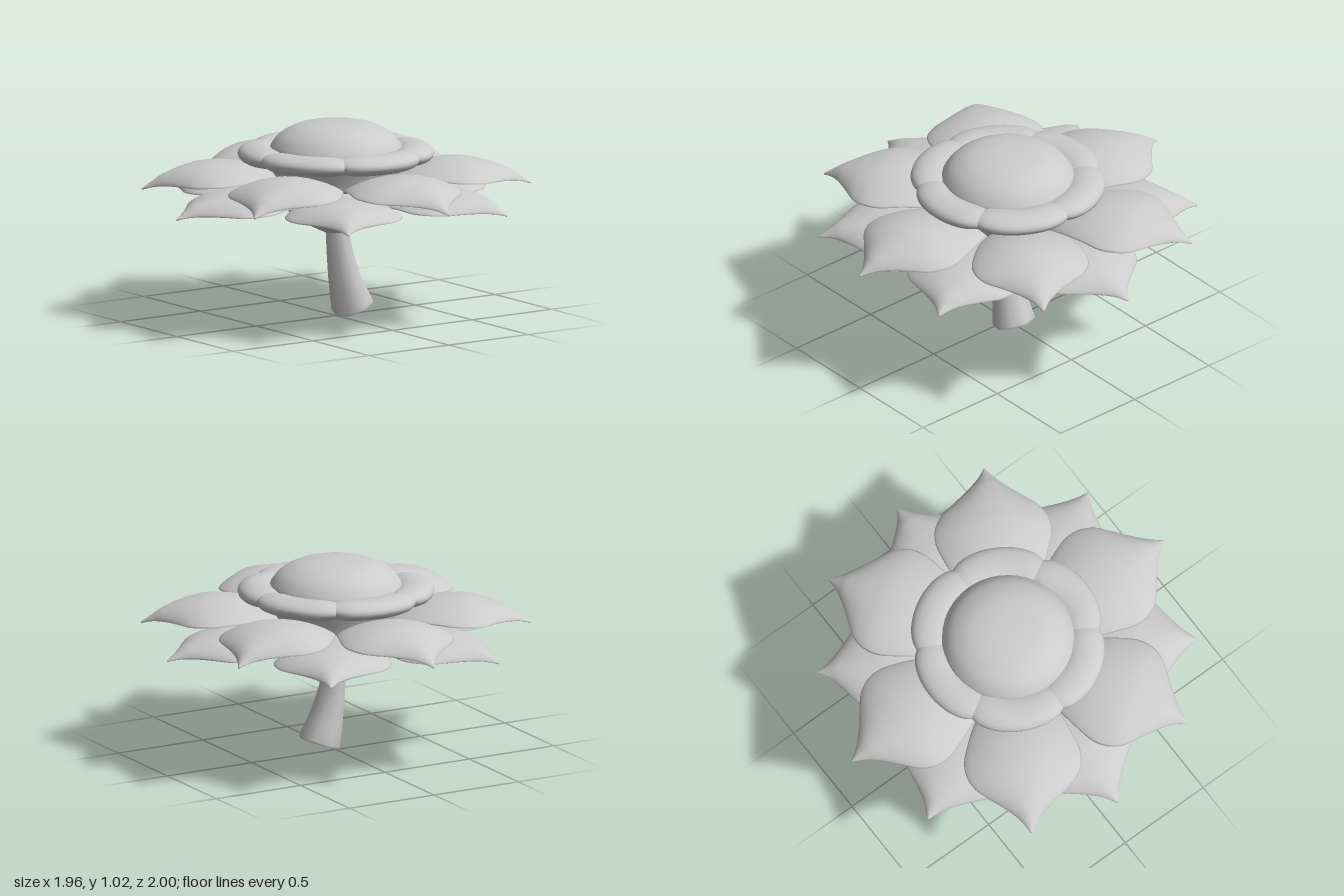
import * as THREE from 'three';

const material = new THREE.MeshStandardMaterial({ color: 0xcccccc });
const V = (x, y, z) => new THREE.Vector3(x, y, z);

// Skin a row of closed rings; flat caps keep a sharp edge at both ends
function loft(rings) {
  const n = rings[0].length, pos = [], idx = [];
  const put = (p) => pos.push(p.x, p.y, p.z);
  rings.forEach((ring) => ring.forEach(put));
  for (let i = 0; i < rings.length - 1; i++) {
    for (let j = 0; j < n; j++) {
      const k = (j + 1) % n;
      const a = i * n + j, b = i * n + k, c = b + n, d = a + n;
      idx.push(a, b, c, a, c, d);
    }
  }
  [rings[0], rings[rings.length - 1]].forEach((ring, end) => {
    const base = pos.length / 3;
    ring.forEach(put);
    for (let j = 1; j < n - 1; j++) {
      if (end) idx.push(base, base + j, base + j + 1);
      else idx.push(base, base + j + 1, base + j);
    }
  });
  const geo = new THREE.BufferGeometry();
  geo.setAttribute('position', new THREE.Float32BufferAttribute(pos, 3));
  geo.setIndex(idx);
  geo.computeVertexNormals();
  return geo;
}

const ringOf = (n, fn) => Array.from({ length: n }, (_, j) => fn((j / n) * Math.PI * 2));

function addMesh(parent, geo, name) {
  const mesh = new THREE.Mesh(geo, material);
  mesh.name = name;
  parent.add(mesh);
  return mesh;
}

// Petal stations: distance from axis, half width, arch height, droop of the edges
const PETAL = [
  [0.18, 0.10, -0.160, 0.01], [0.30, 0.17, -0.085, 0.02], [0.40, 0.225, -0.040, 0.035],
  [0.50, 0.268, -0.010, 0.055], [0.60, 0.300, 0, 0.070], [0.68, 0.295, -0.004, 0.070],
  [0.75, 0.258, -0.020, 0.062], [0.81, 0.190, -0.038, 0.048], [0.88, 0.105, -0.068, 0.028],
  [0.94, 0.045, -0.100, 0.012], [1.00, 0.004, -0.137, 0],
];

function petalGeometry(length, top, fall) {
  const plan = new THREE.CatmullRomCurve3(PETAL.map(([r, w, h]) => V(r, w, h)));
  const edge = new THREE.CatmullRomCurve3(PETAL.map(([r, , , d]) => V(r, d, 0)));
  const rings = [];
  for (let i = 0; i <= 40; i++) {
    const p = plan.getPoint(i / 40), droop = edge.getPoint(i / 40).y;
    const thick = Math.min(0.02, 0.004 + p.y * 0.2);
    rings.push(ringOf(28, (a) => {
      const u = Math.cos(a);
      return V(p.y * u, top + p.z * fall - droop * u * u + thick * Math.sin(a), p.x * length);
    }));
  }
  return loft(rings);
}

function addPetals(root, name, geo, offset) {
  const group = new THREE.Group();
  group.name = name;
  for (let i = 0; i < 6; i++) {
    addMesh(group, geo, 'petal').rotation.y = offset + (i * Math.PI) / 3;
  }
  root.add(group);
}

// One padded sixth of the collar, pinched at both ends
function lobeGeometry() {
  const rings = [], steps = 24;
  for (let i = 0; i <= steps; i++) {
    const t = (i / steps) * 2 - 1;
    const phi = (t * Math.PI) / 6;
    const pinch = 1 - 0.22 * Math.pow(Math.abs(t), 5);
    rings.push(ringOf(20, (a) => {
      const r = 0.405 - 0.012 * t * t + 0.1 * pinch * Math.sin(a);
      return V(r * Math.sin(phi), 0.852 + 0.05 * pinch * Math.cos(a), r * Math.cos(phi));
    }));
  }
  return loft(rings);
}

// Curved stem, flared and tilted at its foot: centre x, y, z, radius, tilt
function stemGeometry() {
  const stations = [
    [0.085, 0.040, 0.030, 0.106, 0.36], [0.081, 0.052, 0.030, 0.112, 0.36],
    [0.060, 0.120, 0.028, 0.100, 0.28], [0.035, 0.210, 0.025, 0.085, 0.18],
    [0.012, 0.320, 0.022, 0.071, 0.08], [0, 0.430, 0.015, 0.062, 0], [0, 0.52, 0.01, 0.062, 0],
  ];
  return loft(stations.map(([x, y, z, r, tilt]) => ringOf(8, (a) => V(
    x + r * Math.sin(a) * Math.cos(tilt),
    y + r * Math.sin(a) * Math.sin(tilt),
    z + r * Math.cos(a)))));
}

const lathe = (points) => new THREE.LatheGeometry(points.map(([x, y]) => new THREE.Vector2(x, y)), 48);

export function createModel() {
  const root = new THREE.Group();
  root.name = 'flower';

  addMesh(root, stemGeometry(), 'stem');

  // Cup under the petals, and the core that carries the collar
  addMesh(root, lathe([[0, 0.44], [0.06, 0.442], [0.09, 0.455], [0.17, 0.495], [0.24, 0.548],
    [0.30, 0.605], [0.36, 0.645], [0.43, 0.672], [0.40, 0.69], [0.32, 0.70]]), 'cup');
  addMesh(root, lathe([[0.31, 0.66], [0.32, 0.74], [0.36, 0.83]]), 'core');

  addPetals(root, 'lowerPetals', petalGeometry(0.98, 0.70, 0.7), Math.PI / 6 - 0.03);
  addPetals(root, 'upperPetals', petalGeometry(1, 0.803, 0.9), 0);

  // Collar of six lobes
  const collar = new THREE.Group();
  collar.name = 'collar';
  const lobe = lobeGeometry();
  for (let i = 0; i < 6; i++) addMesh(collar, lobe, 'collarLobe').rotation.y = (i * Math.PI) / 3;
  root.add(collar);

  // Domed centre
  const dome = new THREE.SplineCurve([[0.32, 0.82], [0.342, 0.87], [0.325, 0.91], [0.28, 0.957],
    [0.20, 0.997], [0.10, 1.015], [0, 1.02]].map(([x, y]) => new THREE.Vector2(x, y)));
  addMesh(root, lathe(dome.getPoints(24).map((p) => [Math.max(0, p.x), p.y])), 'centre');

  return root;
}
